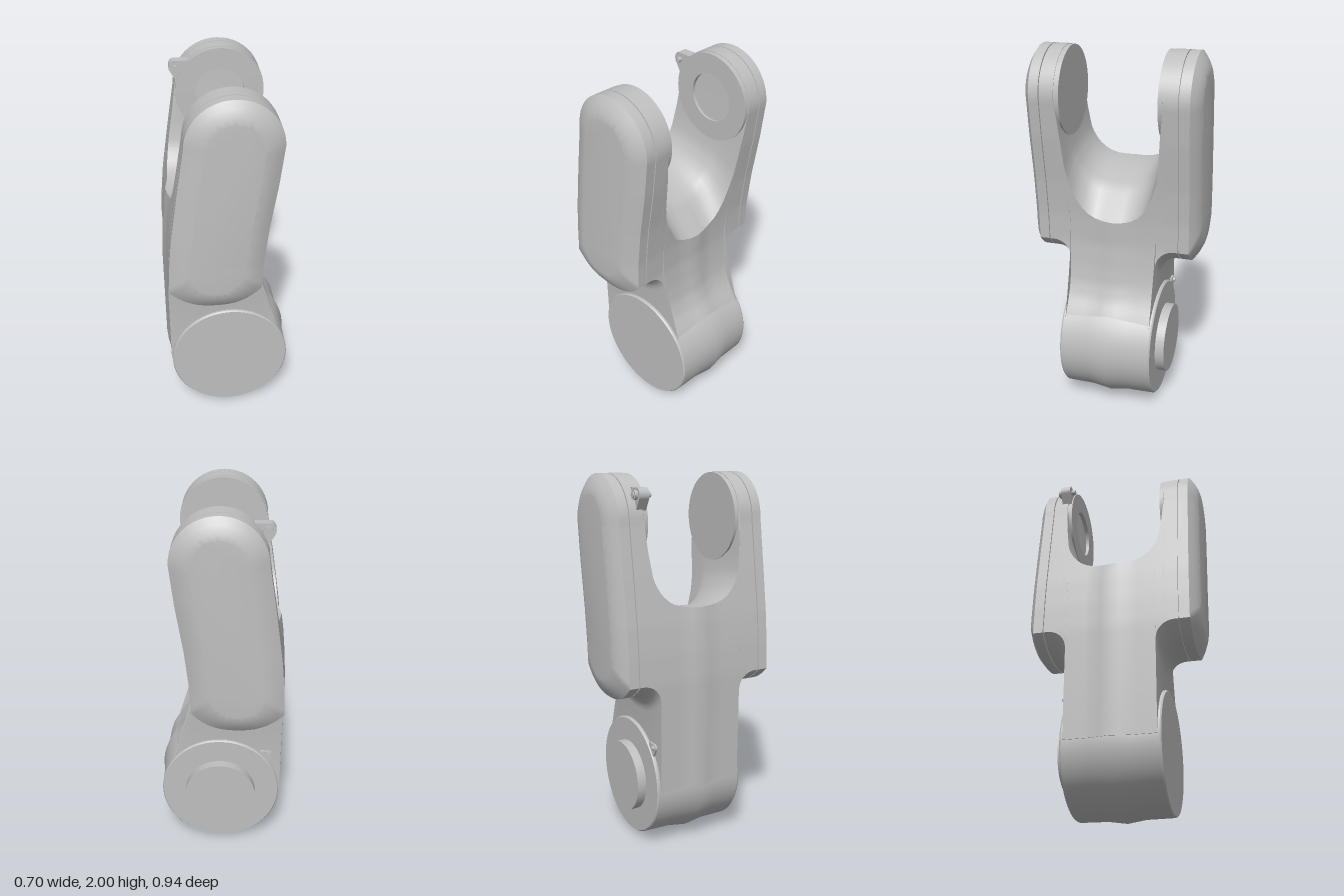
import * as THREE from 'three';
import { toCreasedNormals } from 'three/addons/utils/BufferGeometryUtils.js';

const steel = new THREE.MeshStandardMaterial({ color: 0xbfbfbf });
steel.name = 'light grey metal';

const lerp = THREE.MathUtils.lerp;

// Left and right edges of the arm at height y, as [y, x] pairs
const LEFT = [[0.35, -0.33], [0.95, -0.335], [1.1, -0.328], [1.25, -0.315], [1.5, -0.28], [1.76, -0.24]];
const RIGHT = [[0.35, 0.3], [0.5, 0.285], [0.57, 0.25], [0.64, 0.205], [0.72, 0.175], [0.82, 0.16],
  [0.95, 0.15], [1.1, 0.156], [1.3, 0.178], [1.55, 0.218], [1.76, 0.243]];

function sample(table, y) {
  if (y <= table[0][0]) return table[0][1];
  for (let i = 1; i < table.length; i++) {
    const [y0, x0] = table[i - 1], [y1, x1] = table[i];
    if (y <= y1) return lerp(x0, x1, (y - y0) / (y1 - y0));
  }
  return table[table.length - 1][1];
}

// Top edge: sloping saddle between the prongs, round end on the prongs
function topAt(u, z, d) {
  if (z >= 0.285) return 1.76 + (0.241 - d) * Math.sqrt(Math.max(0, 1 - (2 * u - 1) ** 2));
  const floor = u < 0.7 ? 1.33 - 0.08 * (u / 0.7) ** 2 : 1.25 - 0.16 * ((u - 0.7) / 0.3);
  const rise = 1 - Math.sqrt(Math.max(0, 1 - (z / 0.27) ** 3));
  return lerp(floor, 1.6, Math.min(1, rise));
}

// Bottom edge: hidden in the hub at the middle, filleted arc under the prongs
function bottomAt(u, z, d) {
  if (z <= 0.24) return 0.35;
  const arc = 0.85 + 0.1 * Math.abs(2 * u - 1) ** 2.5;
  const fillet = z < 0.34 ? 0.1 - Math.sqrt(Math.max(0, 0.01 - (0.34 - z) ** 2)) : 0;
  return arc - fillet + d;
}

// One closed section of the fork at depth z, inset by d
function section(z, d) {
  const side = 28, across = 24, loop = [];
  const az = Math.abs(z);
  const bulge = 0.015 * Math.max(0, 1 - az / 0.1);
  const add = (u, v) => {
    const y = lerp(bottomAt(u, az, d), topAt(u, az, d), v);
    loop.push(new THREE.Vector3(lerp(sample(LEFT, y) - bulge + d, sample(RIGHT, y) + bulge - d, u), y, z));
  };
  const ease = (t) => (1 - Math.cos(Math.PI * t)) / 2;
  for (let i = 0; i < side; i++) add(0, i / side);
  for (let i = 0; i < across; i++) add(ease(i / across), 1);
  for (let i = 0; i < side; i++) add(1, 1 - i / side);
  for (let i = 0; i < across; i++) add(1 - ease(i / across), 0);
  return loop;
}

// Fork lofted from back to front, with seam grooves and bevelled outer faces
function forkGeometry() {
  const half = [[0.05, 0], [0.1, 0], [0.14, 0], [0.17, 0], [0.2, 0], [0.22, 0], [0.24, 0],
    [0.2402, 0], [0.246, 0], [0.255, 0], [0.27, 0], [0.285, 0], [0.3, 0], [0.32, 0], [0.34, 0], [0.361, 0],
    [0.3615, 0.01], [0.3665, 0.01], [0.367, 0], [0.42, 0], [0.445, 0.035], [0.462, 0.07], [0.47, 0.1]];
  const stations = [...half.map(([z, d]) => [-z, d]).reverse(), [0, 0], ...half];
  const loops = stations.map(([z, d]) => section(z, d));
  const n = loops[0].length, index = [];
  for (let k = 0; k < loops.length - 1; k++) {
    for (let i = 0; i < n; i++) {
      const j = (i + 1) % n, a = k * n + i, b = k * n + j;
      index.push(a, a + n, b + n, a, b + n, b);
    }
  }
  // End faces
  [[0, -1], [loops.length - 1, 1]].forEach(([k, facing]) => {
    const pts = loops[k].map((p) => new THREE.Vector2(p.x, p.y));
    for (const [a, b, c] of THREE.ShapeUtils.triangulateShape(pts, [])) {
      const turn = THREE.ShapeUtils.area([pts[a], pts[b], pts[c]]);
      const o = k * n;
      if (turn * facing > 0) index.push(o + a, o + b, o + c);
      else index.push(o + a, o + c, o + b);
    }
  });
  const g = new THREE.BufferGeometry().setFromPoints(loops.flat());
  g.setIndex(index);
  return toCreasedNormals(g, 0.6);
}

// Solid or hollow turned part along z, from [radius, z] pairs running back to front
function turned(profile) {
  const g = new THREE.LatheGeometry(profile.map(([r, z]) => new THREE.Vector2(r, z)), 64);
  g.rotateX(Math.PI / 2);
  return toCreasedNormals(g, 0.5);
}

export function createModel() {
  const model = new THREE.Group();
  model.name = 'forkedArmLink';
  const add = (name, geometry, x = 0, y = 0, z = 0, parent = model) => {
    const m = new THREE.Mesh(geometry, steel);
    m.name = name;
    m.position.set(x, y, z);
    parent.add(m);
    return m;
  };

  add('fork', forkGeometry());

  // Lower joint hub, slightly swollen round the middle, with a boss behind
  add('lowerHub', turned([[0, -0.258], [0.322, -0.258], [0.328, -0.25], [0.33, -0.1], [0.345, 0],
    [0.33, 0.1], [0.328, 0.25], [0.322, 0.258], [0, 0.258]]), 0.003, 0.345, 0);
  add('hubBoss', turned([[0, -0.308], [0.195, -0.308], [0.195, -0.25], [0, -0.25]]), 0.003, 0.345, 0);

  // Bearing faces inside the prongs: solid in front, hollow behind
  add('frontBearingFace', turned([[0, 0.258], [0.238, 0.258], [0.238, 0.3], [0, 0.3]]), 0.002, 1.76, 0);
  add('backBearingRing', turned([[0.13, -0.29], [0.238, -0.29], [0.238, -0.258],
    [0.13, -0.258], [0.13, -0.29]]), 0.002, 1.76, 0);

  // Small stop tabs with cross pins
  const tabShape = new THREE.Shape();
  tabShape.moveTo(0.08, 0.035);
  tabShape.lineTo(-0.015, 0.035);
  tabShape.absarc(0, 0, 0.038, Math.PI * 0.6, Math.PI * 1.15, false);
  tabShape.lineTo(0.015, -0.1);
  tabShape.lineTo(0.08, -0.1);
  const tabGeometry = new THREE.ExtrudeGeometry(tabShape, { depth: 0.055, bevelEnabled: false, curveSegments: 8 });
  tabGeometry.translate(0, 0, -0.0275);
  const pinGeometry = new THREE.CylinderGeometry(0.014, 0.014, 0.1, 16).rotateX(Math.PI / 2);
  const headGeometry = new THREE.CylinderGeometry(0.024, 0.024, 0.016, 16).rotateX(Math.PI / 2);
  const stopTab = (name, x, y, z, size) => {
    const tab = new THREE.Group();
    tab.name = name;
    tab.position.set(x, y, z);
    tab.scale.setScalar(size);
    add('tabPlate', tabGeometry, 0, 0, 0, tab);
    add('tabPin', pinGeometry, 0, 0, 0, tab);
    add('pinHead', headGeometry, 0, 0, -0.036, tab);
    model.add(tab);
  };
  stopTab('upperStopTab', -0.228, 1.9, -0.292, 1);
  stopTab('lowerStopTab', -0.265, 0.585, -0.235, 0.6);

  return model;
}
